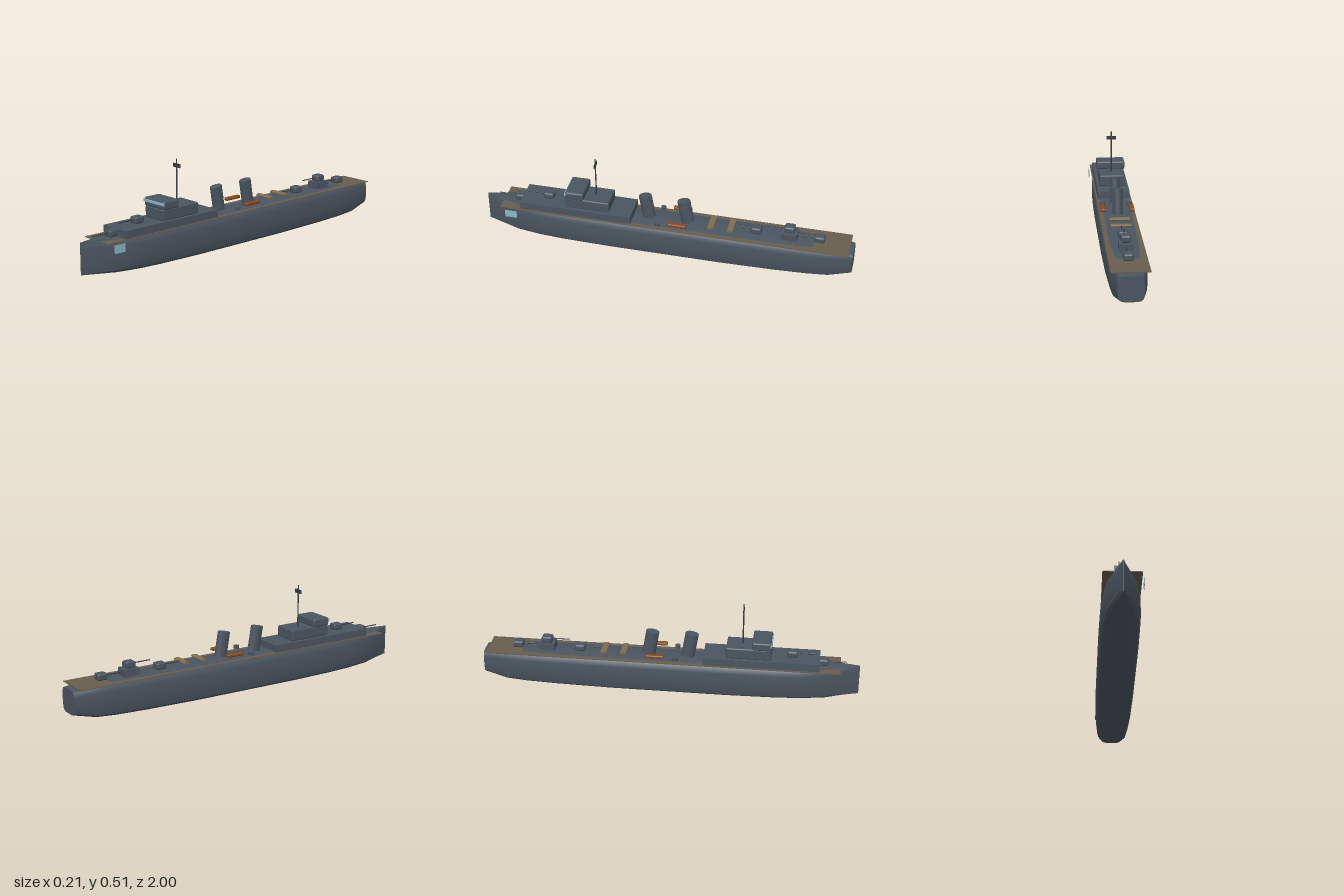
import * as THREE from 'three';
import { toCreasedNormals } from 'three/addons/utils/BufferGeometryUtils.js';
import { RoundedBoxGeometry } from 'three/addons/geometries/RoundedBoxGeometry.js';

const paint = (name, color) => {
  const m = new THREE.MeshStandardMaterial({ color });
  m.name = name;
  return m;
};

// Hull lofted through stations [z, half width, bottom y, top y]
function hullGeometry() {
  const stations = [
    [-1, 0.065, 0.043, 0.17], [-0.88, 0.087, 0.015, 0.182], [-0.77, 0.094, 0.008, 0.1845],
    [-0.6, 0.1, 0.004, 0.187], [-0.3, 0.103, 0, 0.187], [0.3, 0.103, 0, 0.187],
    [0.55, 0.1, 0.003, 0.187], [0.68, 0.094, 0.006, 0.187], [0.82, 0.075, 0.012, 0.188], [1, 0.0015, 0.027, 0.191],
  ];
  // Half section, as fractions of half width and height, from keel to deck
  const half = [[0.48, 0], [0.72, 0.03], [0.88, 0.1], [0.96, 0.25], [1, 0.5], [0.98, 0.78], [0.95, 0.88], [0.85, 0.96], [0.6, 1]];
  const ring = [...half, ...half.map(([x, y]) => [-x, y]).reverse()];
  const n = ring.length, pos = [], idx = [];
  for (const [z, w, y0, y1] of stations)
    for (const [x, y] of ring) pos.push(x * w, y0 + y * (y1 - y0), z);
  for (let i = 0; i < stations.length - 1; i++)
    for (let j = 0; j < n; j++) {
      const a = i * n + j, b = i * n + (j + 1) % n;
      idx.push(a, b, a + n, b, b + n, a + n);
    }
  const last = (stations.length - 1) * n;
  for (let j = 1; j < n - 1; j++) {
    idx.push(0, j + 1, j);
    idx.push(last, last + j, last + j + 1);
  }
  const g = new THREE.BufferGeometry();
  g.setAttribute('position', new THREE.Float32BufferAttribute(pos, 3));
  g.setIndex(idx);
  return toCreasedNormals(g, 0.5);
}

export function createModel() {
  const grey = paint('hull grey', 0x4a5560);
  const dark = paint('mast grey', 0x343b43);
  const planks = paint('deck brown', 0x685e4e);
  const tan = paint('tube tan', 0x7d6e50);
  const wood = paint('boat orange', 0x87491c);
  const glass = paint('window blue', 0x8ab6c8);

  const ship = new THREE.Group();
  ship.name = 'warship';
  const add = (name, geo, mat, x, y, z, parent = ship) => {
    const m = new THREE.Mesh(geo, mat);
    m.name = name;
    m.position.set(x, y, z);
    parent.add(m);
    return m;
  };
  const box = (w, h, d) => new THREE.BoxGeometry(w, h, d);
  const soft = (w, h, d, r) => new RoundedBoxGeometry(w, h, d, 2, r);

  // Hull and deck
  add('hull', hullGeometry(), grey, 0, 0, 0);
  add('deck', box(0.19, 0.004, 1.88), planks, 0, 0.182, -0.04);
  add('bowPanel', box(0.002, 0.042, 0.066), glass, 0.103, 0.151, 0.838);

  // Superstructure
  add('deckhouse', box(0.173, 0.041, 0.61), grey, 0, 0.2035, 0.485);
  add('bridgeBase', soft(0.138, 0.06, 0.238, 0.007), grey, 0, 0.253, 0.419);
  add('bridge', soft(0.156, 0.044, 0.1, 0.009), grey, 0, 0.303, 0.487);
  add('bridgeWindow', box(0.154, 0.014, 0.008), glass, 0, 0.31, 0.537);

  // Mast with crossarm
  add('mast', new THREE.CylinderGeometry(0.003, 0.004, 0.23, 8), dark, 0, 0.395, 0.385);
  add('crossarm', box(0.052, 0.02, 0.005), dark, 0, 0.475, 0.385);

  // Raked oval funnels
  for (const z of [0.106, -0.103]) {
    const f = add('funnel', new THREE.CylinderGeometry(0.035, 0.035, 0.132, 20), grey, 0, 0.258, z);
    f.scale.x = 0.74;
    f.rotation.x = 0.17;
  }

  // Gun turrets, all barrels pointing forward: [z, base y]
  for (const [z, y] of [[0.808, 0.188], [0.647, 0.225], [-0.483, 0.188], [-0.66, 0.225], [-0.818, 0.188]]) {
    const gun = new THREE.Group();
    gun.name = 'gun';
    gun.position.set(0, y, z);
    ship.add(gun);
    add('turret', soft(0.05, 0.036, 0.056, 0.01), grey, 0, 0.017, 0, gun);
    const barrel = add('barrel', new THREE.CylinderGeometry(0.003, 0.003, 0.1, 8), dark, 0, 0.019, 0.071, gun);
    barrel.rotation.x = Math.PI / 2;
  }
  add('gunPedestal', box(0.07, 0.039, 0.085), grey, 0, 0.2045, -0.66);

  // Torpedo tubes lying across the deck
  for (const z of [-0.245, -0.35]) {
    const t = add('torpedoTube', new THREE.CylinderGeometry(0.018, 0.018, 0.105, 12), tan, 0, 0.206, z);
    t.rotation.z = Math.PI / 2;
    t.scale.x = 0.42;
  }

  // Lifeboats and deck lockers on both sides
  for (const s of [1, -1]) {
    add('lifeboat', soft(0.026, 0.017, 0.1, 0.006), wood, s * 0.076, 0.213, -0.072);
    add('deckLocker', new THREE.CylinderGeometry(0.014, 0.014, 0.018, 12), grey, s * 0.072, 0.203, 0.033);
  }
  return ship;
}
